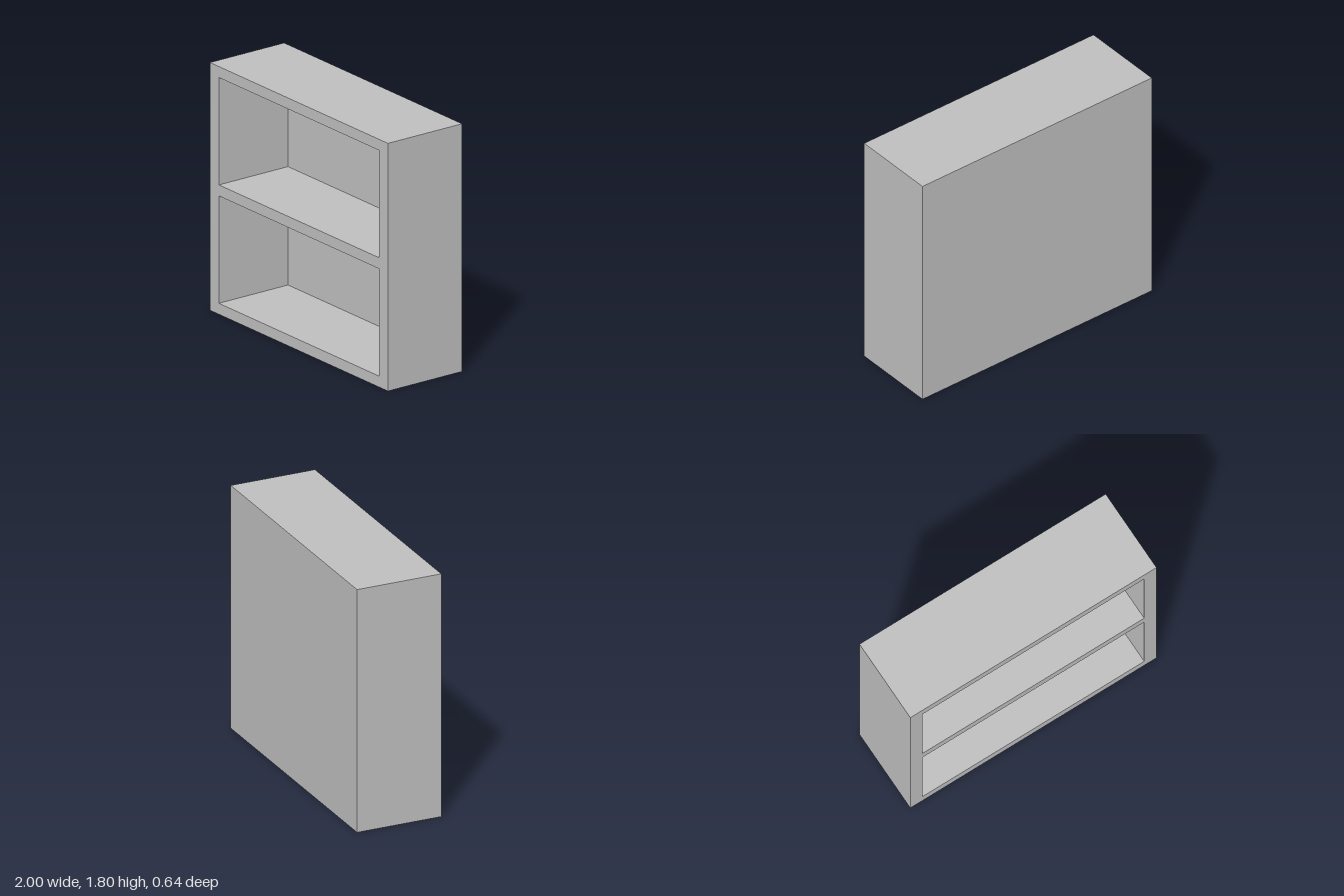
import * as THREE from 'three';

const WIDTH = 2, HEIGHT = 1.8, DEPTH = 0.636;
const SIDE = 0.1, BOARD = 0.08, BACK = 0.043;

// Rectangular outline from its corners
function rectangle(target, x0, y0, x1, y1) {
  target.moveTo(x0, y0);
  target.lineTo(x1, y0);
  target.lineTo(x1, y1);
  target.lineTo(x0, y1);
  target.closePath();
  return target;
}

export function createModel() {
  const model = new THREE.Group();
  model.name = 'bookshelf';
  const grey = new THREE.MeshStandardMaterial({ color: 0xbfbfbf });
  grey.name = 'light grey';

  // Sides, top, bottom and middle shelf as one frame with two open compartments
  const outline = rectangle(new THREE.Shape(), -WIDTH / 2, 0, WIDTH / 2, HEIGHT);
  const opening = (HEIGHT - 3 * BOARD) / 2;
  for (let i = 0; i < 2; i++) {
    const y = BOARD + i * (opening + BOARD);
    outline.holes.push(rectangle(new THREE.Path(), -WIDTH / 2 + SIDE, y, WIDTH / 2 - SIDE, y + opening));
  }
  const frame = new THREE.Mesh(
    new THREE.ExtrudeGeometry(outline, { depth: DEPTH - BACK, bevelEnabled: false }), grey);
  frame.name = 'shelfFrame';
  frame.position.z = -DEPTH / 2 + BACK;
  model.add(frame);

  // Closed back
  const back = new THREE.Mesh(new THREE.BoxGeometry(WIDTH, HEIGHT, BACK), grey);
  back.name = 'backPanel';
  back.position.set(0, HEIGHT / 2, -DEPTH / 2 + BACK / 2);
  model.add(back);

  return model;
}
